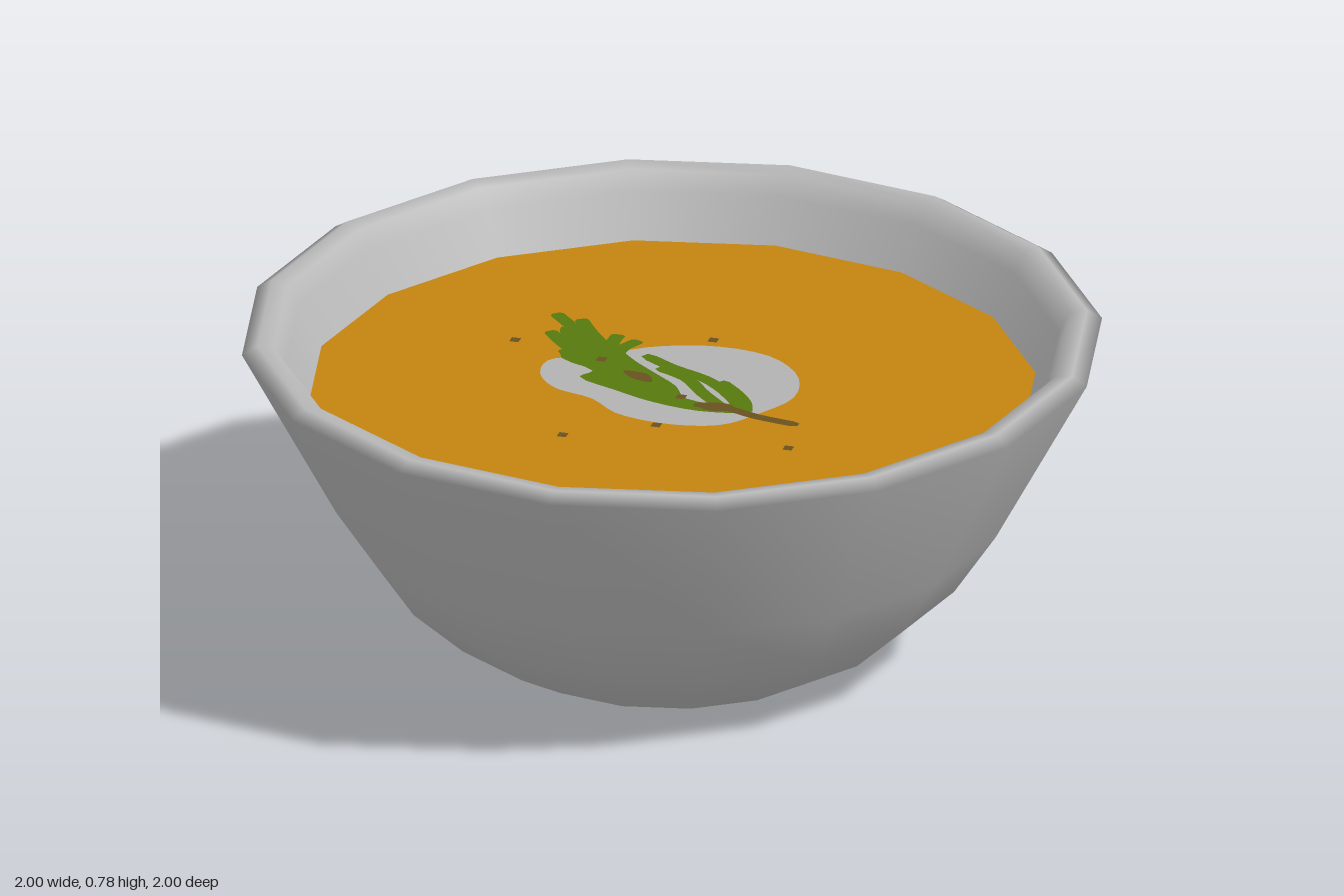
import * as THREE from 'three';

const mat = (name, color) => {
  const m = new THREE.MeshStandardMaterial({ color });
  m.name = name;
  return m;
};
const SIDES = 16;
const SOUP_Y = 0.63;

export function createModel() {
  const ceramic = mat('grey ceramic', 0xb8b8b8);
  const orange = mat('orange soup', 0xc4830f);
  const white = mat('cream', 0xb2b2b2);
  const green = mat('herb green', 0x55780c);
  const brown = mat('brown', 0x69501f);
  const model = new THREE.Group();
  model.name = 'soupBowl';

  const add = (parent, name, geometry, material) => {
    const mesh = new THREE.Mesh(geometry, material);
    mesh.name = name;
    parent.add(mesh);
    return mesh;
  };
  const v2 = ([x, y]) => new THREE.Vector2(x, y);

  // Flat piece lying on the soup; outline given as [x, z]
  const flat = (points, y) => {
    const shape = new THREE.Shape(points.map((p) => new THREE.Vector2(p.x, -p.y)));
    return new THREE.ShapeGeometry(shape).rotateX(-Math.PI / 2).translate(0, y, 0);
  };
  const blob = (pts, y, steps = 48) => {
    const curve = new THREE.CatmullRomCurve3(
      pts.map(([x, z]) => new THREE.Vector3(x, z, 0)), true);
    return flat(curve.getPoints(steps).slice(0, -1), y);
  };
  // Curved ribbon of constant width with rounded-off ends
  const stroke = (pts, width, y) => {
    const curve = new THREE.SplineCurve(pts.map(v2));
    const n = 12, left = [], right = [];
    for (let i = 0; i <= n; i++) {
      const p = curve.getPoint(i / n), t = curve.getTangent(i / n);
      const w = (i === 0 || i === n ? 0.3 : 0.5) * width;
      left.push(new THREE.Vector2(p.x - t.y * w, p.y + t.x * w));
      right.push(new THREE.Vector2(p.x + t.y * w, p.y - t.x * w));
    }
    return flat([...left, ...right.reverse()], y);
  };

  // Bowl: outer wall, rolled rim and inner wall in one profile
  const profile = [
    [0.41, 0], [0.55, 0.08], [0.68, 0.2], [0.78, 0.35], [1, 0.76],
    [0.965, 0.782], [0.925, 0.775], [0.9, 0.73], [0.845, SOUP_Y],
    [0.7, 0.36], [0.58, 0.2], [0.4, 0.08], [0, 0.06],
  ].map(v2);
  add(model, 'bowl', new THREE.LatheGeometry(profile, SIDES), ceramic);
  add(model, 'bowlBase', new THREE.CircleGeometry(0.41, SIDES).rotateX(Math.PI / 2), ceramic);

  // Soup surface
  add(model, 'soup',
    new THREE.CircleGeometry(0.845, SIDES).rotateX(-Math.PI / 2).translate(0, SOUP_Y, 0), orange);

  // Swirl of cream
  add(model, 'cream', blob([
    [0.287, -0.02], [0.262, -0.14], [0.17, -0.23], [0.03, -0.25], [-0.11, -0.205],
    [-0.22, -0.12], [-0.315, -0.07], [-0.315, 0.01], [-0.26, 0.08], [-0.16, 0.115],
    [-0.08, 0.18], [0.05, 0.205], [0.17, 0.175], [0.235, 0.09],
  ], SOUP_Y + 0.003), white);

  // Herb sprig: leaf body and fronds
  const herb = new THREE.Group();
  herb.name = 'herbSprig';
  model.add(herb);
  const leafY = SOUP_Y + 0.006;
  add(herb, 'leafBody', blob([
    [-0.34, -0.25], [-0.27, -0.23], [-0.18, -0.17], [-0.12, -0.11], [-0.06, -0.06],
    [0.01, 0.0], [0.05, 0.06], [0.17, 0.08], [0.2, 0.1], [0.1, 0.12], [-0.02, 0.1],
    [-0.12, 0.06], [-0.22, 0.01], [-0.2, -0.03], [-0.29, -0.08], [-0.31, -0.16],
  ], leafY), green);
  const fronds = [
    [[-0.375, -0.32], [-0.31, -0.25], [-0.22, -0.15]],
    [[-0.31, -0.305], [-0.26, -0.23], [-0.18, -0.13]],
    [[-0.36, -0.22], [-0.3, -0.15], [-0.22, -0.08]],
    [[-0.2, -0.245], [-0.2, -0.19], [-0.18, -0.12]],
    [[-0.145, -0.225], [-0.17, -0.17], [-0.17, -0.1]],
    [[-0.3, -0.13], [-0.25, -0.08], [-0.16, -0.04]],
    [[-0.11, -0.15], [-0.03, -0.1], [0.06, -0.06], [0.13, 0.0], [0.2, 0.09]],
    [[-0.06, -0.09], [0.02, -0.05], [0.08, 0.02], [0.14, 0.08]],
    [[0.1, -0.055], [0.155, 0.0], [0.19, 0.05], [0.205, 0.1]],
  ];
  fronds.forEach((pts) => add(herb, 'frond', stroke(pts, 0.034, leafY), green));

  // Stem and dark spots on the sprig
  const stemY = SOUP_Y + 0.009;
  add(herb, 'stem', stroke([[0.08, 0.095], [0.15, 0.09], [0.24, 0.12], [0.345, 0.138]], 0.028, stemY), brown);
  add(herb, 'stemKnot', blob([[0.1, 0.08], [0.16, 0.07], [0.18, 0.1], [0.11, 0.115]], stemY, 16), brown);
  add(herb, 'darkSpot', blob([[-0.13, -0.045], [-0.07, -0.04], [-0.05, 0], [-0.1, -0.01]], stemY, 16), brown);

  // Scattered specks of spice
  [[-0.42, -0.142], [0.02, -0.27], [0.03, 0.23], [-0.162, 0.345], [0.36, 0.27],
    [0.04, 0.06], [-0.197, -0.093]].forEach(([x, z]) => {
    add(model, 'speck',
      new THREE.PlaneGeometry(0.022, 0.024).rotateX(-Math.PI / 2).translate(x, stemY, z), brown);
  });
  return model;
}
